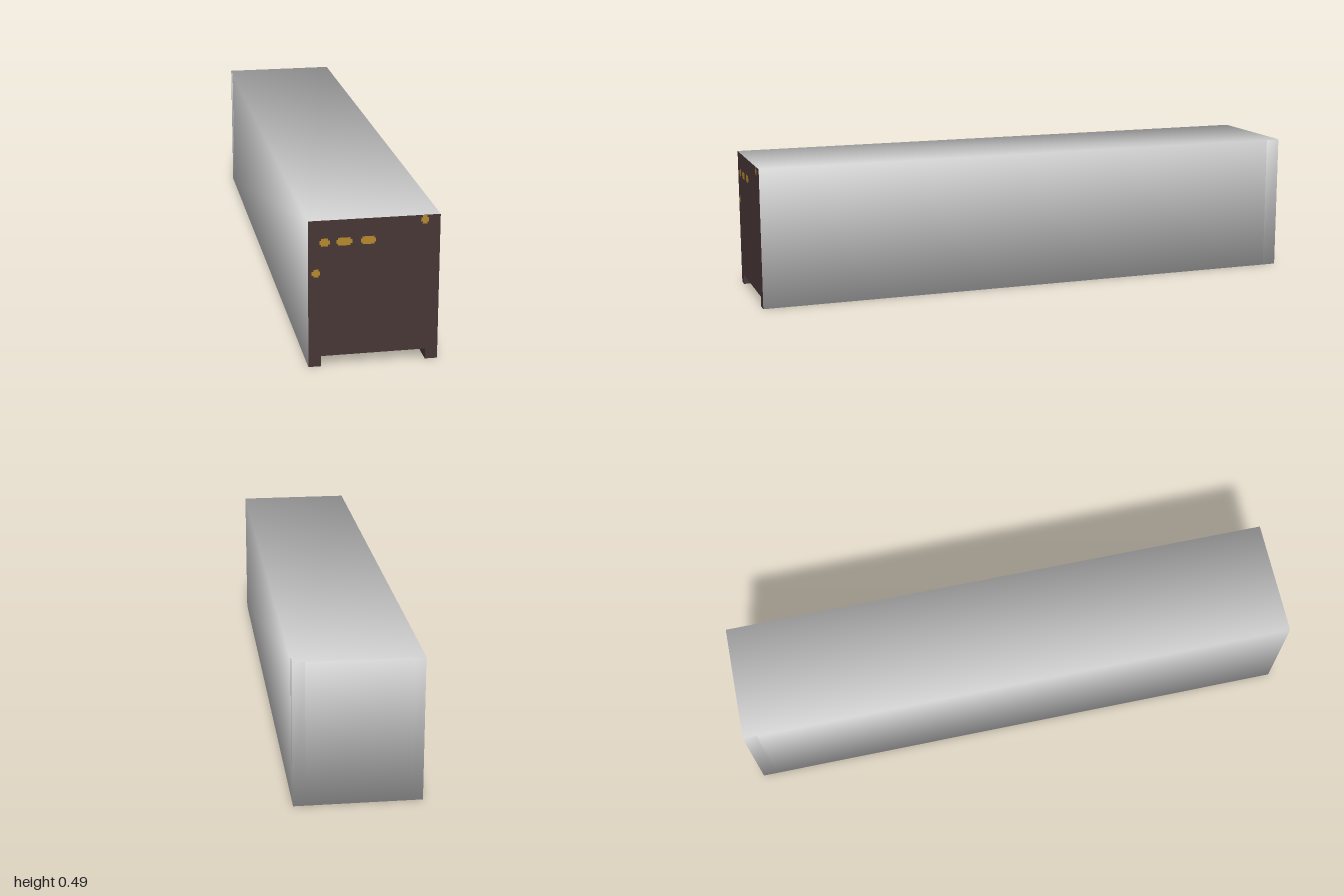
import * as THREE from 'three';

const W = 0.21, H = 0.49, L = 1;          // half width, height, half length
const IN = 0.17, POST = 0.05;             // inner edge of rails and posts, post depth
const LIP = 0.035, Z1 = 0.56, Z2 = 0.43;  // tunnel height, start and end of its ramp

const mat = (name, color) => {
  const m = new THREE.MeshStandardMaterial({ color });
  m.name = name;
  return m;
};

// Polygons (counter-clockwise from outside) become one mesh. Soft ones take
// the normals of a box's corners, so shading flows around the edges.
function panels(name, material, polys, soft) {
  const pos = [];
  for (const p of polys) {
    for (let i = 1; i < p.length - 1; i++) pos.push(...p[0], ...p[i], ...p[i + 1]);
  }
  const g = new THREE.BufferGeometry();
  g.setAttribute('position', new THREE.Float32BufferAttribute(pos, 3));
  g.computeVertexNormals();
  if (soft) roundNormals(g, new THREE.Vector3(0, H / 2, 0), new THREE.Vector3(W, H / 2, L));
  const mesh = new THREE.Mesh(g, material);
  mesh.name = name;
  return mesh;
}

function roundNormals(g, centre, half) {
  const p = g.attributes.position, n = g.attributes.normal, v = new THREE.Vector3();
  for (let i = 0; i < p.count; i++) {
    v.fromBufferAttribute(p, i).sub(centre).divide(half).normalize();
    n.setXYZ(i, v.x, v.y, v.z);
  }
}

// Mirror a polygon across x = 0, keeping it facing outwards
const flip = (p) => p.map(([x, y, z]) => [-x, y, z]).reverse();
const both = (p) => [p, flip(p)];

export function createModel() {
  const group = new THREE.Group();
  const grey = mat('light grey', 0xd8d8d8);
  const brown = mat('dark brown', 0x483737);
  const gold = mat('label gold', 0xb58a2e);
  const B = -L + POST;

  // Side walls, roof, rear panel and floor
  group.add(panels('walls', grey, [
    ...both([[W, 0, L], [W, 0, B], [W, H, B], [W, H, L]]),
    [[-W, H, L], [W, H, L], [W, H, -L], [-W, H, -L]],
    [[IN, 0, -L], [-IN, 0, -L], [-IN, H, -L], [IN, H, -L]],
    [[-W, 0, B], [W, 0, B], [W, 0, Z2], [-W, 0, Z2]],
    ...both([[IN, 0, Z1], [IN, 0, Z2], [W, 0, Z2]]),
  ], true));

  // Tunnel under the front end, with a ramp down to the floor
  group.add(panels('tunnelCeiling', grey, [
    [[-IN, LIP, Z1 + 0.05], [IN, LIP, Z1 + 0.05], [IN, LIP, L], [-IN, LIP, L]],
    [[-0.11, LIP, Z1], [0.11, LIP, Z1], [IN, LIP, Z1 + 0.05], [-IN, LIP, Z1 + 0.05]],
    [[-IN, 0, Z2], [IN, 0, Z2], [IN, 0, Z1], [0.11, LIP, Z1], [-0.11, LIP, Z1], [-IN, 0, Z1]],
  ], false));
  group.add(panels('tunnelSides', brown, [
    ...both([[IN, 0, L], [IN, LIP, L], [IN, LIP, Z1 + 0.05], [IN, 0, Z1]]),
    ...both([[IN, 0, Z1], [IN, LIP, Z1 + 0.05], [0.11, LIP, Z1]]),
  ], false));
  group.add(panels('railUndersides', brown,
    both([[IN, 0, L], [IN, 0, Z1], [W, 0, Z2], [W, 0, L]]), false));
  group.add(panels('rearSill', brown,
    [[[-IN, 0, -L], [IN, 0, -L], [IN, 0, B], [-IN, 0, B]]], false));

  // Front wall with its two rails
  group.add(panels('frontWall', brown, [
    [[-IN, LIP, L], [IN, LIP, L], [IN, H, L], [-IN, H, L]],
    ...both([[IN, 0, L], [W, 0, L], [W, H, L], [IN, H, L]]),
  ], false));

  // Rear corner posts
  for (const s of [1, -1]) {
    const size = [W - IN, H - 0.002, POST];
    const g = new THREE.BoxGeometry(...size);
    roundNormals(g, new THREE.Vector3(), new THREE.Vector3(...size).multiplyScalar(0.5));
    const post = new THREE.Mesh(g, grey);
    post.name = s > 0 ? 'leftRearPost' : 'rightRearPost';
    post.position.set(s * (W + IN) / 2, size[1] / 2, -L + POST / 2);
    group.add(post);
  }

  // Small stepped labels on the front: x, y, width, height
  const labels = [
    [-0.158, 0.418, 0.032, 0.026], [-0.096, 0.418, 0.05, 0.026],
    [-0.02, 0.418, 0.048, 0.026], [-0.186, 0.317, 0.026, 0.026],
    [0.16, 0.475, 0.025, 0.028],
  ];
  for (const [x, y, w, h] of labels) {
    const label = new THREE.Group();
    label.name = 'frontLabel';
    for (const [a, b] of [[w - 0.01, h], [w, h * 0.5]]) {
      const plate = new THREE.Mesh(new THREE.PlaneGeometry(a, b), gold);
      plate.name = 'labelPlate';
      label.add(plate);
    }
    label.position.set(x, y, L + 0.001);
    group.add(label);
  }
  return group;
}
